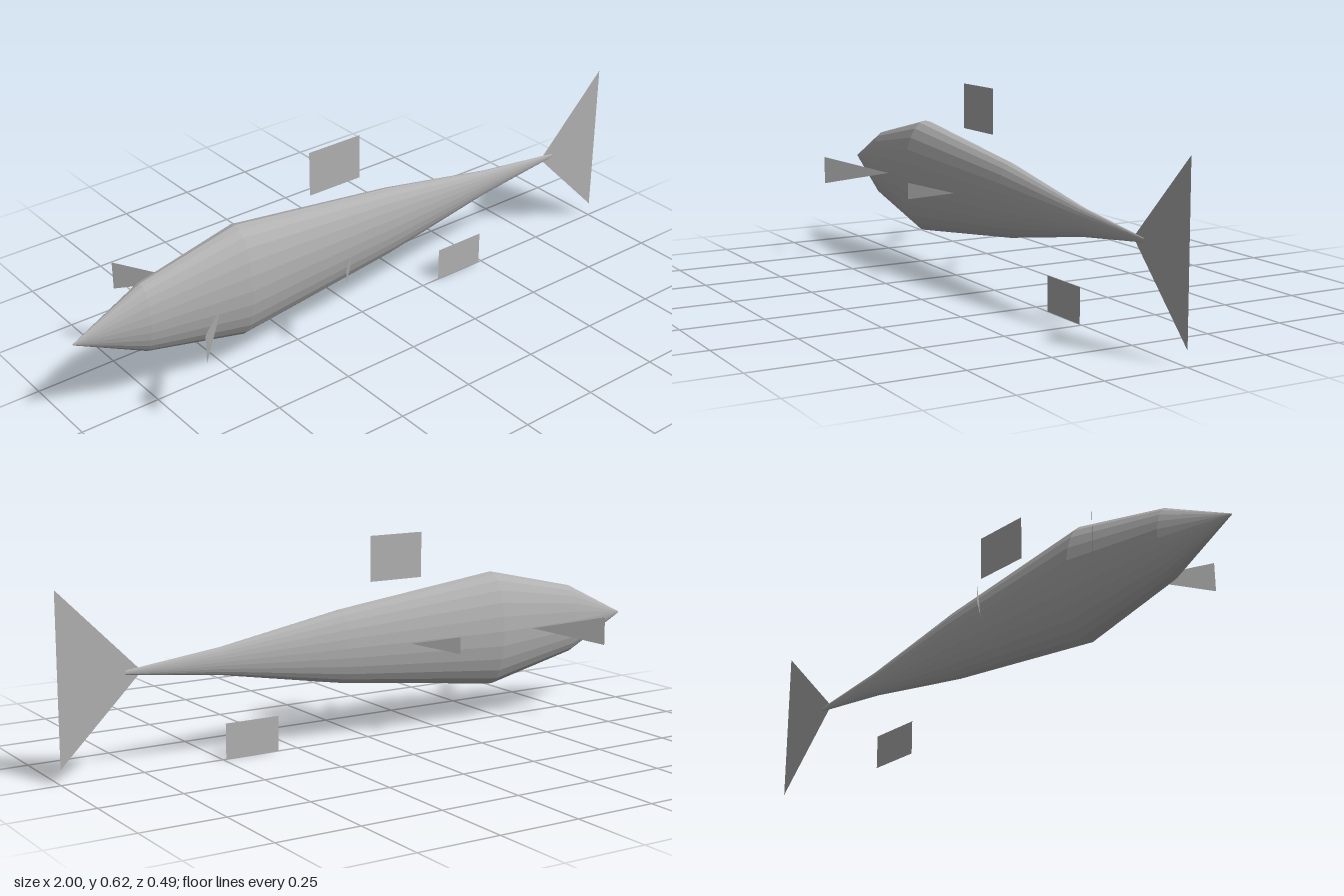
import * as THREE from 'three';

const MID = 0.294; // height of the body axis

export function createModel() {
  const fish = new THREE.Group();
  fish.name = 'fish';
  const grey = new THREE.MeshStandardMaterial({
    name: 'grey', color: 0xb0b0b0, flatShading: true, side: THREE.DoubleSide,
  });

  const add = (name, geometry) => {
    const mesh = new THREE.Mesh(geometry, grey);
    mesh.name = name;
    fish.add(mesh);
    return mesh;
  };

  // Body: a faceted spindle along x, flattened sideways
  const profile = [
    [0.002, -1], [0.11, -0.78], [0.182, -0.46], [0.113, 0.1], [0.042, 0.5], [0.006, 0.8],
  ].map(([r, x]) => new THREE.Vector2(r, x));
  const body = new THREE.LatheGeometry(profile, 24);
  body.rotateZ(-Math.PI / 2);
  body.scale(1, 1, 0.44);
  add('body', body).position.y = MID;

  // Flat triangular fin with its apex at the origin, opening towards +x
  const triangle = (length, halfHeight) => new THREE.ShapeGeometry(new THREE.Shape([
    new THREE.Vector2(0, 0),
    new THREE.Vector2(length, -halfHeight),
    new THREE.Vector2(length, halfHeight),
  ]));

  // Tail fin
  add('tailFin', triangle(0.25, 0.25)).position.set(0.75, MID, 0);

  // Upright fins above and below the body
  add('dorsalFin', new THREE.PlaneGeometry(0.185, 0.14)).position.set(-0.102, 0.55, 0);
  add('analFin', new THREE.PlaneGeometry(0.175, 0.107)).position.set(0.402, 0.0535, 0);

  // Paired side fins, swept forwards and outwards at 45 degrees
  for (const side of [1, -1]) {
    const label = side > 0 ? 'front' : 'back';
    const pairs = [
      ['pectoralFin', -0.57, 0.16, 0.0445],
      ['pelvicFin', -0.103, 0.106, 0.026],
    ];
    for (const [name, x, reach, halfHeight] of pairs) {
      const fin = add(`${name}_${label}`, triangle(reach * Math.SQRT2, halfHeight));
      fin.rotation.y = -side * Math.PI * 0.75;
      fin.position.set(x, MID, side * 0.084);
    }
  }
  return fish;
}
